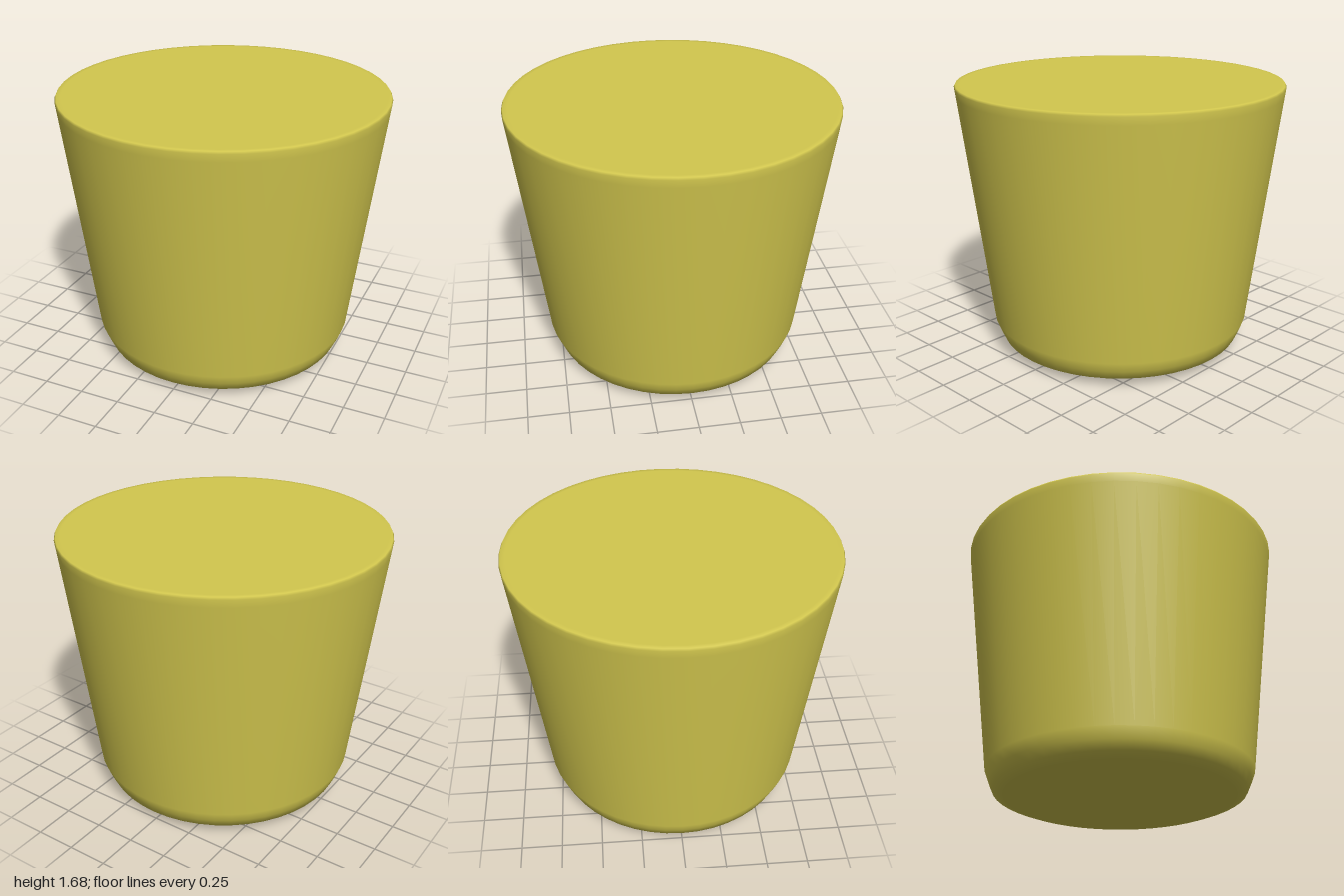
import * as THREE from 'three';

export function createModel() {
  const group = new THREE.Group();
  group.name = 'taperedCup';
  const material = new THREE.MeshStandardMaterial({ color: 0xd2c74e });

  // Closed profile from base centre to lid centre; close pairs keep the rim crisp
  const profile = [
    [0, 0], [0.42, 0.005], [0.70, 0.035], [0.765, 0.06], // shallow domed base
    [0.79, 0.115], [0.815, 0.18],                        // rounded lower edge
    [0.993, 1.62], [0.999, 1.667],                       // tapered wall
    [0.992, 1.68], [0.965, 1.68], [0, 1.68],             // softened rim and flat top
  ].map(([r, y]) => new THREE.Vector2(r, y));

  const body = new THREE.Mesh(new THREE.LatheGeometry(profile, 48), material);
  body.name = 'body';
  group.add(body);
  return group;
}
